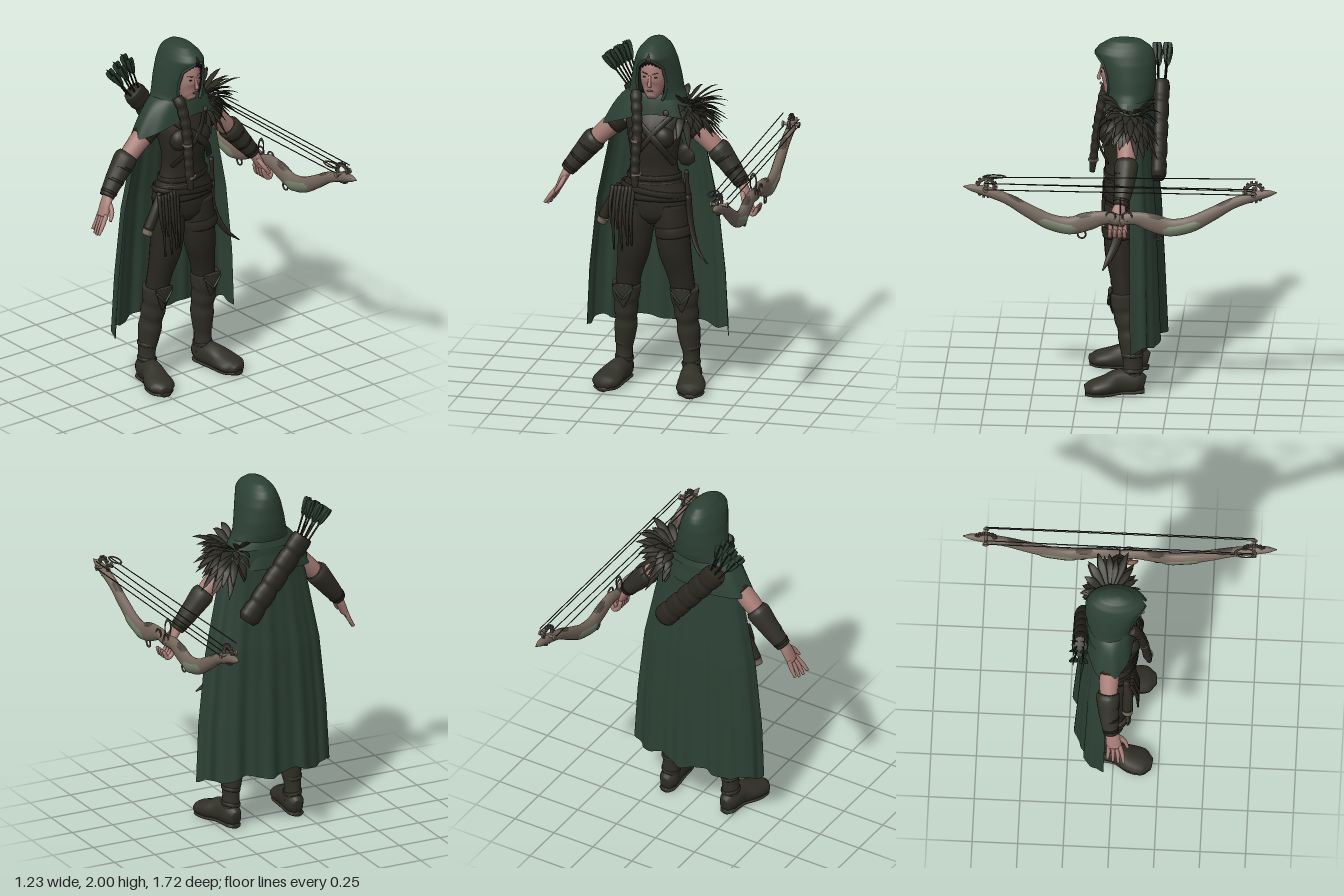
import * as THREE from 'three';

const mat = (name, color, side = THREE.FrontSide) => {
  const m = new THREE.MeshStandardMaterial({ color, side });
  m.name = name;
  return m;
};

// Sweep an ellipse along points [x, y, z, ra, rb]; ra lies towards ref, rb across it
function sweep(pts, ref = [1, 0, 0], n = 24, sides = 16) {
  const path = new THREE.CatmullRomCurve3(pts.map(p => new THREE.Vector3(p[0], p[1], p[2])), false, 'centripetal');
  const size = new THREE.CatmullRomCurve3(pts.map(p => new THREE.Vector3(p[3], p[4] ?? p[3], 0)), false, 'catmullrom', 0.35);
  const pos = [], idx = [], R = new THREE.Vector3(...ref);
  for (let i = 0; i <= n; i++) {
    const c = path.getPoint(i / n), t = path.getTangent(i / n), r = size.getPoint(i / n);
    const A = R.clone().addScaledVector(t, -R.dot(t)).normalize();
    const B = t.clone().cross(A);
    for (let j = 0; j < sides; j++) {
      const a = j / sides * Math.PI * 2;
      const p = c.clone().addScaledVector(A, Math.max(r.x, 0.001) * Math.cos(a)).addScaledVector(B, Math.max(r.y, 0.001) * Math.sin(a));
      pos.push(p.x, p.y, p.z);
    }
  }
  for (let i = 0; i < n; i++) for (let j = 0; j < sides; j++) {
    const k = (j + 1) % sides, a = i * sides, b = a + sides;
    idx.push(a + j, a + k, b + j, a + k, b + k, b + j);
  }
  const s = pos.length / 3, last = n * sides;
  const p0 = path.getPoint(0), p1 = path.getPoint(1);
  pos.push(p0.x, p0.y, p0.z, p1.x, p1.y, p1.z);
  for (let j = 0; j < sides; j++) {
    const k = (j + 1) % sides;
    idx.push(s, k, j, s + 1, last + j, last + k);
  }
  return finish(pos, idx);
}

// Open sheet from a rule fn(u, v) -> [x, y, z]
function sheet(nu, nv, fn) {
  const pos = [], idx = [];
  for (let i = 0; i <= nv; i++) for (let j = 0; j <= nu; j++) pos.push(...fn(j / nu, i / nv));
  for (let i = 0; i < nv; i++) for (let j = 0; j < nu; j++) {
    const a = i * (nu + 1) + j, b = a + nu + 1;
    idx.push(a, b, a + 1, a + 1, b, b + 1);
  }
  return finish(pos, idx);
}

function finish(pos, idx) {
  const g = new THREE.BufferGeometry();
  g.setAttribute('position', new THREE.Float32BufferAttribute(pos, 3));
  g.setIndex(idx);
  g.computeVertexNormals();
  return g;
}

// Value at x from rows [x, value...] by linear steps
function lookup(rows, x, col) {
  let i = 0;
  while (i < rows.length - 2 && x > rows[i + 1][0]) i++;
  return THREE.MathUtils.mapLinear(x, rows[i][0], rows[i + 1][0], rows[i][col], rows[i + 1][col]);
}

export function createModel() {
  const model = new THREE.Group();
  model.name = 'hoodedArcher';
  const cloak = mat('cloakGreen', 0x2c4034, THREE.DoubleSide), leather = mat('darkLeather', 0x2a271f);
  const cloth = mat('trouserBrown', 0x292620), boot = mat('bootOlive', 0x313027), skin = mat('skin', 0xa67c75);
  const wood = mat('bowWood', 0x75685d), limb = mat('limbGreen', 0x717c66), metal = mat('darkMetal', 0x4c433b);
  const plume = mat('featherDark', 0x2c2b23), hair = mat('hairBlack', 0x1c1715);
  const add = (name, geo, m, parent = model) => {
    const mesh = new THREE.Mesh(geo, m);
    mesh.name = name;
    parent.add(mesh);
    return mesh;
  };
  const Z = [0, 0, 1], X0 = -0.015;
  const band = (name, x, y, z, rx, rz, tube, h, m, tilt = 0) => {
    const b = add(name, new THREE.TorusGeometry(1, tube / rx, 8, 40).rotateX(Math.PI / 2).scale(rx, h * rx / tube, rz), m);
    b.position.set(x, y, z);
    b.rotation.z = tilt;
  };
  let seed = 7;
  const rnd = () => (seed = (seed * 16807) % 2147483647) / 2147483647;

  // Torso
  add('hips', sweep([[X0, .95, .02, .07, .06], [X0, 1, .022, .165, .09], [X0, 1.06, .02, .19, .097], [X0, 1.15, .02, .168, .093]]), cloth);
  add('vest', sweep([[X0, 1.09, .02, .195, .107], [X0, 1.14, .02, .182, .104], [X0, 1.22, .025, .148, .092], [X0, 1.3, .03, .132, .086],
    [X0, 1.38, .033, .14, .095], [X0, 1.46, .025, .155, .105], [X0, 1.54, .005, .168, .09], [X0, 1.6, -.005, .115, .065], [X0, 1.65, 0, .05, .045]]), leather);
  for (const s of [-1, 1]) {
    const b = add('bust', new THREE.SphereGeometry(.065, 20, 14).scale(1, 1, .8), leather);
    b.position.set(X0 + s * .065, 1.455, .092);
  }
  band('upperBelt', X0, 1.22, .025, .15, .096, .006, .016, leather, .04);
  band('lowerBelt', X0, 1.14, .02, .186, .107, .006, .018, cloth, -.12);
  band('beltChain', X0, 1.19, .022, .162, .1, .003, .003, wood, .05);
  add('chestStrap', sweep([[-.15, 1.6, .06, .008, .02], [-.06, 1.52, .125, .006, .02], [.05, 1.42, .148, .006, .02], [.12, 1.31, .09, .006, .02]], Z), cloth);
  add('crossStrap', sweep([[.1, 1.58, .07, .006, .015], [.02, 1.5, .138, .006, .015], [-.06, 1.4, .143, .006, .015], [-.13, 1.3, .08, .006, .015]], Z), cloth);

  // Legs and boots
  for (const s of [-1, 1]) {
    const L = (rows) => rows.map(([x, ...r]) => [X0 + s * x, ...r]);
    add('trouserLeg', sweep(L([[.095, 1.06, .022, .088, .09], [.1, .95, .025, .098, .092], [.115, .8, .025, .092, .086], [.145, .65, .012, .073, .066], [.163, .53, 0, .065, .062]])), cloth);
    add('bootShaft', sweep(L([[.192, .07, -.045, .05, .058], [.19, .18, -.047, .046, .053], [.184, .25, -.042, .056, .062], [.178, .32, -.035, .064, .069], [.174, .37, -.028, .059, .065],
      [.172, .42, -.018, .067, .072], [.168, .47, -.006, .066, .068], [.166, .51, 0, .076, .075], [.164, .575, .004, .082, .077]]), undefined, 40), boot);
    add('bootFoot', sweep(L([[.19, .055, -.112, .03, .045], [.193, .066, -.07, .052, .064], [.205, .072, .02, .058, .07], [.23, .055, .1, .079, .053],
      [.242, .044, .165, .077, .042], [.248, .034, .212, .035, .026]])), boot);
    add('bootSole', sweep(L([[.19, .013, -.112, .028, .013], [.193, .013, -.085, .046, .013], [.205, .013, .02, .051, .013], [.232, .013, .11, .073, .013], [.243, .013, .17, .068, .013], [.248, .013, .21, .03, .013]])), boot);
    add('kneeFlap', sweep(L([[.165, .45, .062, .006, .006], [.165, .52, .077, .04, .008], [.165, .585, .078, .06, .012]])), boot);
    for (const e of [-1, 1]) add('kneeTrim', sweep(L([[.165, .5, .087, .006], [.165 + e * .028, .535, .087, .007], [.165 + e * .055, .565, .078, .007]]), Z, 6, 6), cloak);
    for (const y of [.13, .22]) band('bootStrap', X0 + s * .19, y, -.046, .049, .056, .004, .011, boot, s * .15);
  }
  band('thighStrap', .095, .91, .025, .1, .095, .005, .03, leather, .12);

  // Arms, bracers and hands
  for (const s of [-1, 1]) {
    const A = (rows) => rows.map(([x, ...r]) => [X0 + s * x, ...r]);
    add('upperArm', sweep(A([[.14, 1.55, -.02, .055], [.21, 1.505, -.02, .06], [.29, 1.435, -.02, .054], [.38, 1.345, -.02, .045]]), Z), skin);
    add('armBand', sweep(A([[.18, 1.53, -.02, .064], [.245, 1.475, -.02, .062]]), Z, 4), leather);
    add('bracer', sweep(A([[.335, 1.395, -.022, .056], [.355, 1.375, -.022, .066], [.42, 1.295, -.015, .056], [.5, 1.195, 0, .042]]), Z), boot);
    for (const t of [.2, .55, .85]) add('bracerStrap', sweep(A([[.355 + .145 * t, 1.375 - .18 * t, -.022 + .022 * t, .065 - .021 * t], [.364 + .145 * t, 1.363 - .18 * t, -.02 + .022 * t, .064 - .021 * t]]), Z, 2), leather);
    add('palm', sweep(A([[.485, 1.215, 0, .028, .026], [.515, 1.16, .012, .04, .024], [.545, 1.095, .02, .042, .018]]), Z), skin);
    for (let i = 0; i < 4; i++) {
      const d = i - 1.5;
      add('finger', sweep(s < 0
        ? A([[.54, 1.11, .02 + d * .02, .013], [.57 + d * .006, 1.06, .028 + d * .026, .012], [.598 + d * .008, 1.0 + Math.abs(d) * .012, .03 + d * .03, .008]])
        : A([[.53, 1.11, .015 + d * .026, .013], [.543, 1.062, .015 + d * .027, .013], [.572, 1.045, .015 + d * .027, .013], [.592, 1.085, .015 + d * .026, .01]]), Z, 10, 8), skin);
    }
    add('thumb', sweep(A([[.505, 1.17, .03, .014], [.52, 1.13, .075, .013], [.545, 1.09, .095, .008]]), Z, 10, 8), skin);
  }

  // Head and face
  add('neck', sweep([[X0, 1.58, 0, .055], [-.012, 1.66, .03, .046], [-.01, 1.74, .045, .048]]), skin);
  add('head', sweep([[-.01, 1.682, .105, .022, .022], [-.01, 1.705, .085, .046, .052], [-.01, 1.75, .06, .067, .082], [-.01, 1.8, .05, .074, .092],
    [-.01, 1.86, .043, .07, .09], [-.01, 1.91, .035, .048, .062], [-.01, 1.93, .03, .012, .015]], undefined, 32, 24), skin);
  add('nose', sweep([[-.01, 1.82, .136, .007, .006], [-.01, 1.785, .146, .009, .008], [-.01, 1.764, .15, .012, .011], [-.01, 1.755, .142, .009, .005]], undefined, 12, 10), skin);
  add('lips', new THREE.SphereGeometry(.019, 14, 8).scale(1, .28, .35), wood).position.set(-.01, 1.732, .138);
  for (const s of [-1, 1]) {
    add('eye', new THREE.SphereGeometry(.012, 12, 8).scale(1, .4, .4), hair).position.set(-.01 + s * .03, 1.81, .132);
    add('eyebrow', sweep([[-.01 + s * .014, 1.829, .137, .003], [-.01 + s * .045, 1.834, .122, .002]], Z, 5, 6), hair);
  }
  // Fringe parted on the left and swept across
  for (let i = 0; i < 8; i++) {
    const t = i / 7;
    add('fringe', sweep([[.025 - t * .04, 1.925, .09, .018], [.03 - t * .08, 1.9, .122, .014], [.062 - t * .142, 1.845 + .03 * Math.sin(t * 3.1), .1 + .025 * Math.sin(t * 3.1), .004]], Z, 10, 8), hair);
  }
  for (const s of [-1, 1]) add('sideHair', sweep([[-.01 + s * .05, 1.89, .085, .018], [-.01 + s * .076, 1.8, .07, .014], [-.01 + s * .07, 1.7, .06, .016]], Z, 12, 8), hair);

  // Long braid over the chest
  const plait = [];
  for (let i = 0; i <= 18; i++) {
    const t = i / 18, r = (i % 2 ? .034 : .029) * (t > .9 ? .6 : 1 - .2 * t);
    plait.push([-.1 + .03 * t + .01 * Math.sin(t * 5), 1.71 - .52 * t, .09 + .1 * Math.sqrt(t), r, r * .85]);
  }
  add('braid', sweep(plait, [1, 0, 0], 72, 12), leather);
  for (const t of [.5, .86]) add('braidBead', new THREE.CylinderGeometry(.029, .029, .012, 14), wood).position.set(-.1 + .03 * t, 1.71 - .52 * t, .09 + .1 * Math.sqrt(t));

  // Hood: rows of -y, half width, front z, back z, half opening
  const rows = [[-2, .001, .021, .019, 0], [-1.997, .02, .045, -.025, 0], [-1.985, .05, .095, -.09, 0], [-1.95, .083, .15, -.137, 0], [-1.92, .1, .17, -.153, .012],
    [-1.87, .118, .15, -.163, .068], [-1.78, .138, .125, -.166, .084], [-1.71, .15, .11, -.16, .078], [-1.67, .168, .105, -.15, .06]];
  const hood = (u, v) => {
    const y = -2 + .33 * v ** 1.5, [rx, zf, zb, o] = [1, 2, 3, 4].map(c => lookup(rows, y, c));
    const th = (u * 2 - 1) * (Math.PI - Math.asin(Math.min(o / rx, 1)));
    return [-.012 + rx * Math.sin(th), -y, (zf + zb) / 2 - (zf - zb) / 2 * Math.cos(th)];
  };
  add('hood', sheet(56, 40, hood), cloak);
  for (const u of [0, 1]) add('hoodRim', sweep([.4, .48, .56, .64, .72, .8, .9, 1].map(v => [...hood(u, v), .008]), [1, 0, .2], 32, 8), cloak);

  // Shoulder mantle, longer over the right arm
  add('mantle', sheet(72, 16, (u, v) => {
    const a = u * Math.PI * 2, c = Math.cos(a), s = Math.sin(a), k = v ** .8;
    const hem = 1.545 - .065 * Math.max(0, -c) + .045 * Math.max(0, s) ** 2 - .03 * Math.max(0, -s);
    const fold = 1 + .02 * v * Math.sin(a * 9);
    const rx = THREE.MathUtils.lerp(.13, c < 0 ? .3 : .225, k), rz = THREE.MathUtils.lerp(.1, s > 0 ? .13 : .15, k);
    return [X0 + rx * c * fold, THREE.MathUtils.lerp(1.7, hem, v ** 1.4), -.015 + rz * s * fold];
  }), cloak);

  // Cape hanging behind
  const capeRows = [[0, .19, .1, -.05], [.15, .265, .12, -.035], [.45, .345, .15, -.04], [.75, .385, .165, -.04], [1, .4, .17, -.045]];
  add('cape', sheet(110, 40, (u, v) => {
    const q = u * 2 - 1, [w, d, z] = [1, 2, 3].map(c => lookup(capeRows, v, c)), th = q * 1.57;
    const wave = .014 * v * Math.sin(q * 17 + .6) + .006 * v * Math.sin(q * 37);
    return [X0 + w * Math.sin(th) * (1 - .02 * v * Math.cos(q * 21)), 1.63 - v * (1.31 + .015 * Math.sin(q * 13 + 1) + .015 * q * q), z - (d + wave) * Math.max(Math.cos(th), 0) ** .8];
  }), cloak);

  // Feathers on the left shoulder
  for (let layer = 0; layer < 5; layer++) for (let i = 0; i < 10; i++) {
    const a = (i / 9 - .5) * 3.1 + (rnd() - .5) * .25, e = .5 - layer * .34 + (rnd() - .5) * .25, len = .13 + rnd() * .08;
    const dx = Math.cos(a), dz = Math.sin(a) * .62;
    const x = .14 + dx * .055, y = 1.63 - layer * .018, z = -.035 + dz * .07;
    add('feather', sweep([[x, y, z, .01, .004], [x + dx * len * .5, y + e * len * .35 + .012, z + dz * len * .5, .024, .005],
      [x + dx * len * .8, y + e * len * .65, z + dz * len * .8, .014, .003], [x + dx * len, y + e * len * .8 - .015, z + dz * len, .001, .001]], [-dz, .3, dx], 9, 6), plume);
  }
  add('brooch', new THREE.SphereGeometry(.016, 10, 8).scale(1, 1, .5), metal).position.set(.075, 1.605, .115);

  // Quiver and arrows
  const q0 = new THREE.Vector3(.15, 1.24, -.185), q1 = new THREE.Vector3(-.2, 1.68, -.185);
  const quiver = [];
  for (let i = 0; i <= 20; i++) {
    const p = q0.clone().lerp(q1, i / 20), r = (i % 4 ? .065 : .058) * (i === 0 ? .85 : 1);
    quiver.push([p.x, p.y, p.z, r * .7, r]);
  }
  add('quiver', sweep(quiver, Z, 80, 18), leather);
  const dir = q1.clone().sub(q0).normalize();
  for (let i = 0; i < 6; i++) {
    const k = i % 3 - 1;
    const b = q1.clone().add(new THREE.Vector3(k * .025, k * .02, i < 3 ? -.018 : .018));
    const d = dir.clone().add(new THREE.Vector3(k * .2 + .04, .25 + (i < 3 ? .06 : 0), i < 3 ? -.08 : .06)).normalize();
    const at = (t, r, r2 = r) => [...b.clone().addScaledVector(d, t).toArray(), r, r2];
    add('arrowShaft', sweep([at(-.03, .005), at(.19, .005)], Z, 2, 6), hair);
    for (const ref of [[0, 0, 1], [1, 1, 0]]) add('fletching', sweep([at(.09, .003, .002), at(.12, .018, .002), at(.18, .026, .002), at(.205, .022, .002)], ref, 8, 6), cloak);
  }

  // Curved knife on the left hip
  add('knifeSheath', sweep([[.18, 1.12, .03, .016, .024], [.185, 1, .02, .016, .026], [.21, .89, .04, .014, .026], [.25, .81, .075, .01, .02], [.31, .755, .11, .003, .004]]), leather);
  add('knifeHilt', sweep([[.17, 1.26, .04, .014], [.175, 1.19, .04, .011], [.18, 1.12, .03, .016]], undefined, 12, 10), leather);

  // Flask and tassels on the right hip
  add('flask', sweep([[-.2, 1.16, .07, .018], [-.24, 1.07, .08, .028], [-.29, .97, .08, .03]], Z), leather);
  add('flaskCap', sweep([[-.288, .965, .08, .032], [-.303, .935, .08, .028]], Z, 4), wood);
  for (let i = 0; i < 7; i++) {
    const x = -.23 + i * .02, l = .2 + rnd() * .18;
    add('tassel', sweep([[x, 1.16, .1, .012], [x - .01, 1.16 - l * .5, .13, .01], [x + (rnd() - .5) * .04, 1.16 - l, .135, .005]], Z, 10, 6), leather);
  }

  // Bow held along z in the left hand
  const bow = new THREE.Group();
  bow.name = 'bow';
  bow.position.x = .55;
  model.add(bow);
  const arc = [[0, 1.135, .024, .03], [.08, 1.15, .026, .038], [.18, 1.125, .027, .052], [.27, 1.1, .028, .05], [.38, 1.118, .028, .045], [.5, 1.18, .028, .038],
    [.62, 1.248, .026, .03], [.74, 1.292, .024, .028], [.81, 1.308, .018, .02], [.86, 1.315, .003, .003]];
  for (const s of [-1, 1]) {
    add('bowLimb', sweep(arc.map(([z, y, a, b]) => [0, y, s * z, a, b]), undefined, 48, 14), wood, bow);
    // Pale green inlay low on the flanks, dark mottling on top
    const strip = (name, zs, dy, wa, wb, m) => add(name, sweep(zs.map((z, i) => {
      const end = i === 0 || i === zs.length - 1 ? .6 : 1, [y, a, b] = [1, 2, 3].map(c => lookup(arc, z, c));
      return [0, y + dy * b, s * z, (a + .003) * wa * end, b * wb * end];
    }), undefined, 20, 12), m, bow);
    strip('limbInlay', [.2, .27, .34, .41, .48], -.22, 1.04, .8, limb);
    strip('limbMottle', [.1, .15, .21, .27], .35, .75, .72, metal);
    strip('limbMottle', [.5, .55, .61, .68], .35, .75, .75, metal);
    const cam = new THREE.Group();
    cam.name = 'cam';
    cam.position.set(0, 1.315, s * .735);
    bow.add(cam);
    add('camRing', new THREE.TorusGeometry(.045, .009, 8, 28).rotateY(Math.PI / 2), metal, cam);
    for (let i = 0; i < 14; i++) {
      const t = add('camTooth', new THREE.BoxGeometry(.014, .014, .012), metal, cam), a = i / 14 * Math.PI * 2;
      t.position.set(0, .056 * Math.sin(a), .056 * Math.cos(a));
      t.rotation.x = -a;
    }
    add('camAxle', new THREE.CylinderGeometry(.008, .008, .1, 10).rotateZ(Math.PI / 2), wood, cam);
    for (const x of [-.045, .045]) add('axleDisc', new THREE.CylinderGeometry(.016, .016, .01, 12).rotateZ(Math.PI / 2), wood, cam).position.x = x;
    add('lowerRing', new THREE.TorusGeometry(.022, .005, 6, 20).rotateY(Math.PI / 2), metal, bow).position.set(0, 1.05, s * .21);
  }
  const strings = [[-.045, 1.355, 1.375], [.05, 1.315, 1.315], [-.04, 1.32, 1.305], [.045, 1.35, 1.345]];
  for (const [x, ya, yb] of strings) add('bowString', sweep([[x, ya, .74, .003], [x, yb, -.74, .003]], undefined, 2, 6), leather, bow);
  for (const z of [-.04, .05]) add('gripBracket', new THREE.TorusGeometry(.026, .005, 6, 20).rotateY(Math.PI / 2), metal, bow).position.set(.02, 1.165, z);
  add('sightLoop', new THREE.TorusGeometry(.018, .004, 6, 24).scale(1, 2.6, 1), metal, bow).position.set(-.01, 1.21, 0);
  add('sideHook', new THREE.TorusGeometry(.025, .004, 6, 24).scale(1, 2.2, 1).rotateX(Math.PI / 2), metal, bow).position.set(-.045, 1.36, .69);

  return model;
}
